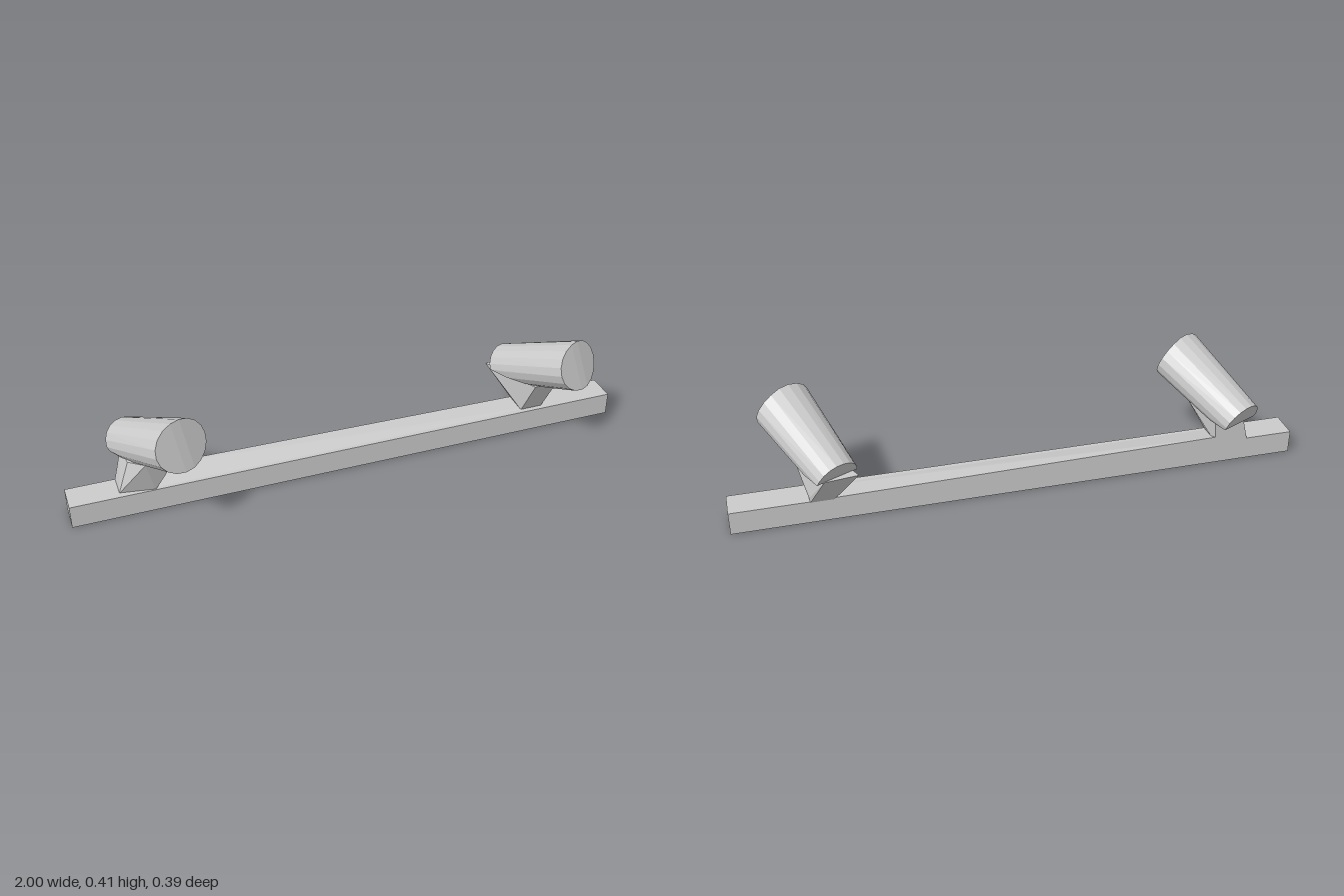
import * as THREE from 'three';
import { ConvexGeometry } from 'three/addons/geometries/ConvexGeometry.js';

const material = new THREE.MeshStandardMaterial({ color: 0xcccccc, flatShading: true });

function addPart(parent, name, geometry) {
  const mesh = new THREE.Mesh(geometry, material);
  mesh.name = name;
  parent.add(mesh);
  return mesh;
}

// Faceted solid spanned by a handful of corner points
function solid(corners) {
  return new ConvexGeometry(corners.map(c => new THREE.Vector3(...c)));
}

// Tapered lamp barrel, tilted up and sideways, with its underside cut flat at floorY
function barrel(offsetX, floorY) {
  const back = new THREE.Vector3(offsetX + 0.64, 0.2, -0.16);
  const front = new THREE.Vector3(offsetX + 0.78, 0.336, 0.14);
  const axis = front.clone().sub(back).normalize();
  const side = new THREE.Vector3(0, 1, 0).cross(axis).normalize();
  const up = axis.clone().cross(side);
  const points = [], rings = 6, sides = 18;
  for (let i = 0; i < rings; i++) {
    const t = i / (rings - 1);
    const center = back.clone().lerp(front, t);
    const rx = THREE.MathUtils.lerp(0.076, 0.104, t);
    const ry = THREE.MathUtils.lerp(0.072, 0.085, t);
    for (let j = 0; j < sides; j++) {
      const a = (j / sides) * Math.PI * 2;
      const p = center.clone()
        .addScaledVector(side, Math.cos(a) * rx)
        .addScaledVector(up, Math.sin(a) * ry);
      // the front face folds back slightly on its left half
      if (i === rings - 1) p.addScaledVector(axis, -0.02 * Math.max(0, Math.cos(a)));
      p.y = Math.max(p.y, floorY);
      points.push(p);
    }
  }
  return new ConvexGeometry(points);
}

export function createModel() {
  const model = new THREE.Group();
  model.name = 'trackLight';

  // Long rail
  const rail = addPart(model, 'rail', new THREE.BoxGeometry(2, 0.083, 0.105));
  rail.position.set(0, 0.0415, -0.0475);

  // Shallow ramp on top of the rail, rising along the back edge
  addPart(model, 'railRamp', solid([
    [-0.71, 0.08, -0.1], [-0.71, 0.106, -0.1], [-0.71, 0.08, 0.004],
    [0.66, 0.08, -0.1], [0.66, 0.086, -0.1], [0.66, 0.084, -0.02], [0.66, 0.08, 0],
  ]));

  // Left lamp on a funnel-shaped bracket
  const leftLamp = new THREE.Group();
  leftLamp.name = 'leftLamp';
  model.add(leftLamp);
  addPart(leftLamp, 'leftBarrel', barrel(0, 0.205));
  addPart(leftLamp, 'leftBracket', solid([
    [0.65, 0.08, -0.015], [0.73, 0.08, -0.015], [0.65, 0.08, -0.1], [0.73, 0.08, -0.1],
    [0.65, 0.105, -0.105], [0.73, 0.105, -0.105],
    [0.57, 0.208, -0.17], [0.685, 0.208, -0.185], [0.77, 0.208, 0.025], [0.67, 0.208, 0.04],
  ]));

  // Right lamp on a post that flares towards the front
  const rightLamp = new THREE.Group();
  rightLamp.name = 'rightLamp';
  model.add(rightLamp);
  addPart(rightLamp, 'rightBarrel', barrel(-1.41, 0.185));
  addPart(rightLamp, 'rightPost', solid([
    [-0.83, 0.08, -0.1], [-0.71, 0.08, -0.1], [-0.83, 0.08, -0.02], [-0.71, 0.08, 0],
    [-0.71, 0.105, -0.1], [-0.8, 0.2, -0.1], [-0.7, 0.2, -0.1],
    [-0.79, 0.2, -0.02], [-0.74, 0.208, 0.03], [-0.64, 0.208, 0.03],
  ]));

  return model;
}
